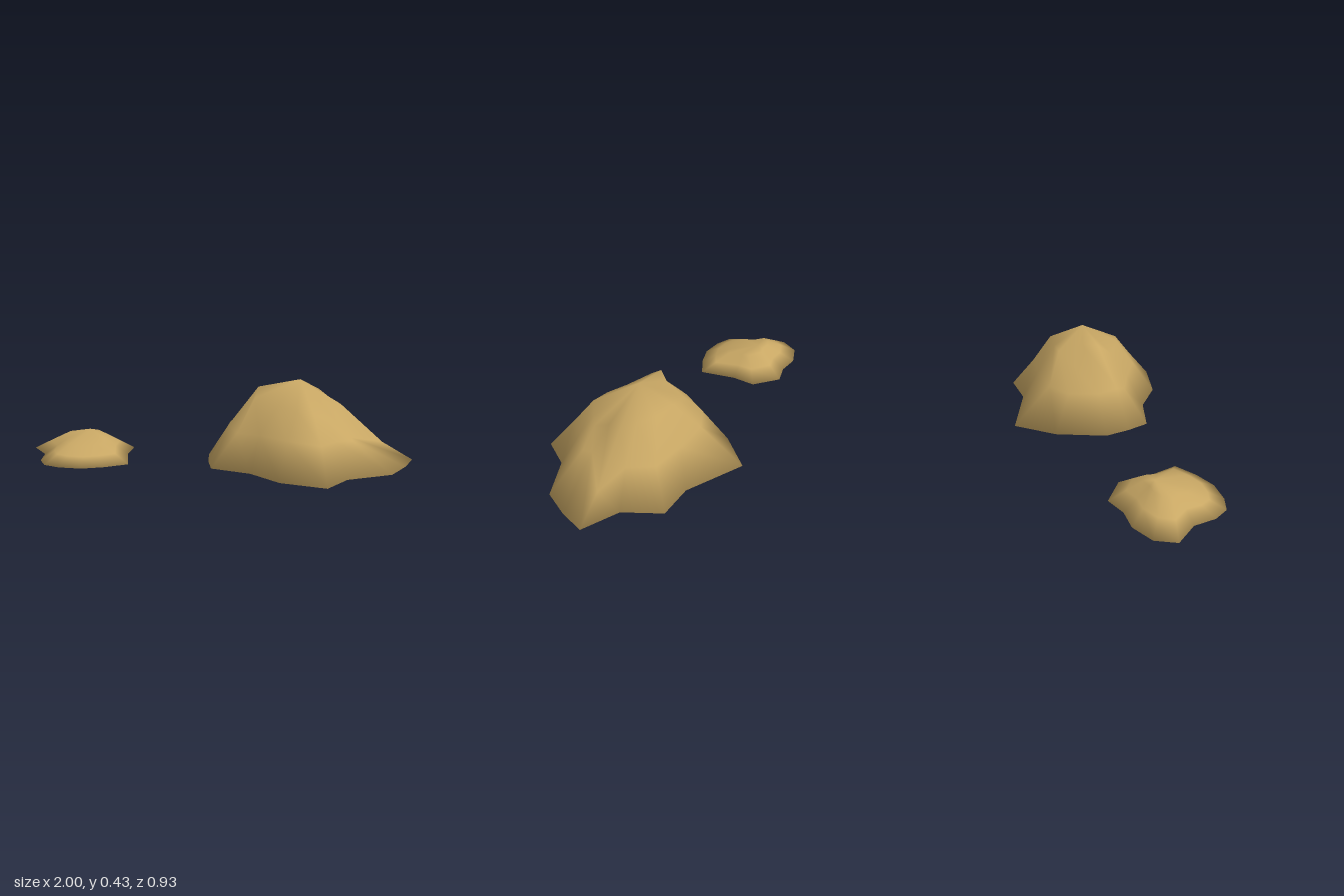
import * as THREE from 'three';

// Closed smooth rock: stacked rings of [x, y, z] (base first, clockwise from above) and a peak
function rock(name, rings, peak, material) {
  const n = rings[0].length;
  const points = [...rings.flat(), peak];
  const index = [];
  rings.forEach((ring, r) => {
    for (let i = 0; i < n; i++) {
      const a = r * n + i, b = r * n + (i + 1) % n;
      if (r === rings.length - 1) index.push(b, a, points.length - 1);
      else index.push(b, a, b + n, a, a + n, b + n);
    }
  });
  // flat underside, facing down
  const outline = rings[0].map(([x, , z]) => new THREE.Vector2(x, z));
  for (const [a, b, c] of THREE.ShapeUtils.triangulateShape(outline, [])) {
    const u = outline[b].clone().sub(outline[a]), v = outline[c].clone().sub(outline[a]);
    if (u.cross(v) > 0) index.push(a, b, c);
    else index.push(a, c, b);
  }
  const geometry = new THREE.BufferGeometry();
  geometry.setAttribute('position', new THREE.Float32BufferAttribute(points.flat(), 3));
  geometry.setIndex(index);
  geometry.computeVertexNormals();
  // the rim rolls softly under: normals outward and slightly down
  const normals = geometry.attributes.normal;
  const normal = new THREE.Vector3();
  for (let i = 0; i < n; i++) {
    const before = outline[(i + n - 1) % n], after = outline[(i + 1) % n];
    normal.set(after.y - before.y, 0, before.x - after.x).normalize().setY(-0.4).normalize();
    normals.setXYZ(i, normal.x, normal.y, normal.z);
  }
  const mesh = new THREE.Mesh(geometry, material);
  mesh.name = name;
  return mesh;
}

export function createModel() {
  const group = new THREE.Group();
  group.name = 'rocks';
  const sandstone = new THREE.MeshStandardMaterial({ color: 0xc8a764 });
  sandstone.name = 'sandstone';

  // Large rock: ragged base, steep flank, sloping shoulder
  const base = [
    [0.26, -0.465], [0.55, -0.3], [0.74, -0.285], [0.82, -0.1], [1, 0],
    [0.94, 0.125], [0.85, 0.255], [0.62, 0.335], [0.51, 0.467], [0.29, 0.385],
    [0.155, 0.245], [-0.04, 0.16], [-0.055, 0.045], [-0.055, -0.085], [0.08, -0.31],
  ].map(([x, z]) => [x, 0.004, z]);
  const flank = [
    [0.28, 0.18, -0.25], [0.47, 0.18, -0.235], [0.64, 0.17, -0.195], [0.72, 0.18, -0.08], [0.84, 0.1, 0],
    [0.66, 0.158, 0.13], [0.66, 0.155, 0.18], [0.57, 0.17, 0.25], [0.49, 0.17, 0.333], [0.33, 0.18, 0.275],
    [0.2, 0.18, 0.17], [0.09, 0.17, 0.095], [0.05, 0.2, 0.03], [0.06, 0.19, -0.07], [0.15, 0.18, -0.2],
  ];
  const shoulder = [
    [0.34, 0.34, -0.165], [0.4, 0.35, -0.165], [0.52, 0.35, -0.135], [0.57, 0.32, -0.06], [0.62, 0.3, 0],
    [0.58, 0.28, 0.08], [0.58, 0.25, 0.16], [0.53, 0.27, 0.19], [0.46, 0.3, 0.233], [0.38, 0.31, 0.2],
    [0.29, 0.32, 0.14], [0.18, 0.345, 0.063], [0.2, 0.39, 0], [0.27, 0.385, -0.06], [0.22, 0.285, -0.13],
  ];
  group.add(rock('largeRock', [base, flank, shoulder], [0.41, 0.43, 0.008], sandstone));

  // Small rock: its outline shrinks towards a low top, lower at the front
  const outline = [
    [-1, -0.22], [-0.935, -0.31], [-0.81, -0.345], [-0.695, -0.325], [-0.58, -0.345],
    [-0.465, -0.23], [-0.485, -0.11], [-0.465, 0.08], [-0.58, 0.13], [-0.695, 0.155],
    [-0.81, 0.135], [-0.89, 0.095], [-0.925, 0.015], [-0.925, -0.1],
  ];
  const cx = -0.7, cz = -0.1;
  const ring = (scale, height, tilt) => outline.map(([x, z]) =>
    [cx + (x - cx) * scale, height - tilt * (z - cz) * scale, cz + (z - cz) * scale]);
  group.add(rock('smallRock', [ring(1, 0, 0), ring(0.7, 0.047, 0.05), ring(0.42, 0.09, 0.15)],
    [-0.69, 0.122, -0.165], sandstone));

  return group;
}
